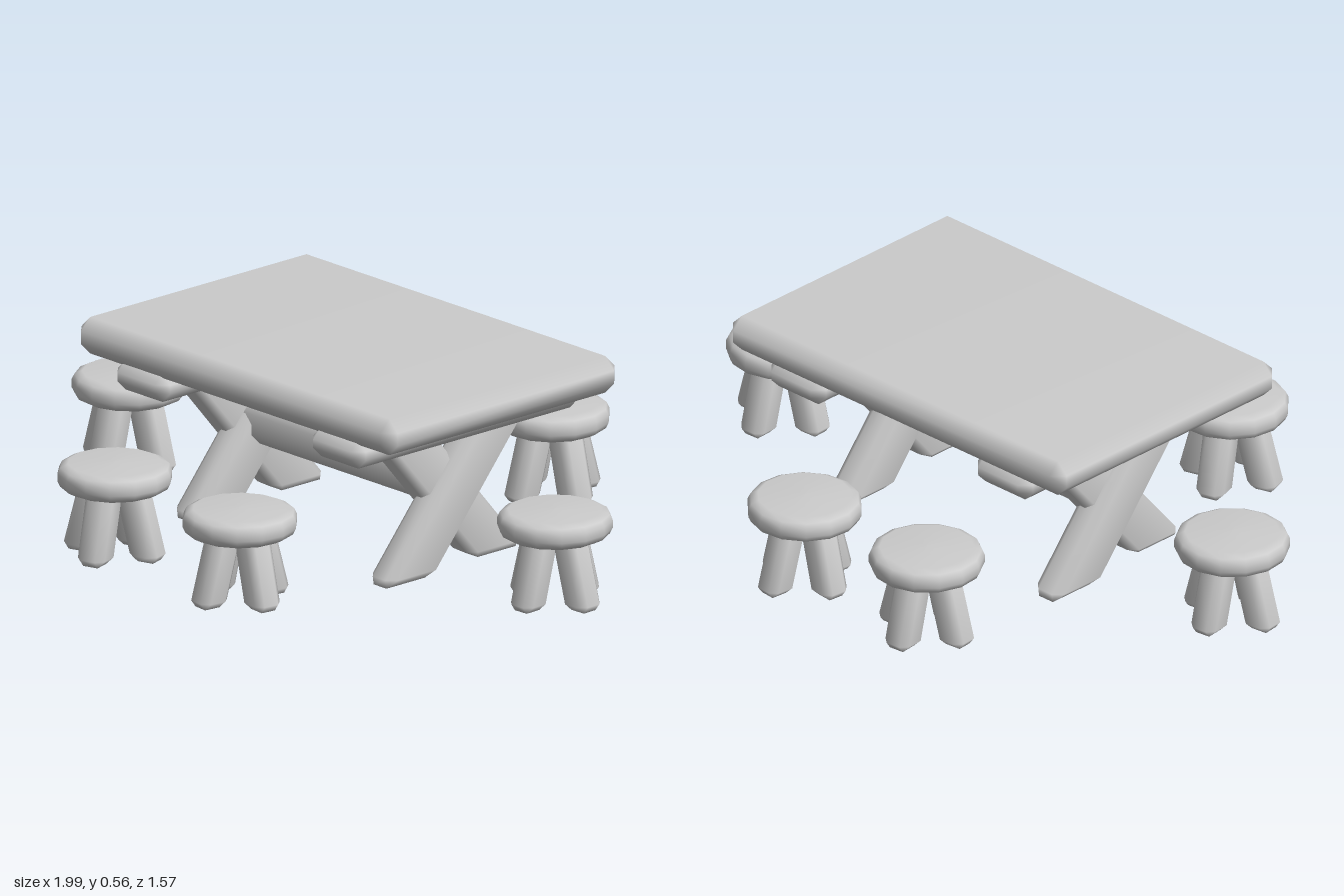
import * as THREE from 'three';
import { mergeVertices } from 'three/addons/utils/BufferGeometryUtils.js';
import { ConvexGeometry } from 'three/addons/geometries/ConvexGeometry.js';

const material = new THREE.MeshStandardMaterial({ color: 0xcccccc });

function part(name, geometry, x = 0, y = 0, z = 0) {
  const mesh = new THREE.Mesh(geometry, material);
  mesh.name = name;
  mesh.position.set(x, y, z);
  return mesh;
}

// Box with every edge cut by c and softly shaded; slant leans it along z as it rises
function chamferBox(w, h, d, c, slant = 0) {
  const points = [];
  for (const sx of [-1, 1]) for (const sy of [-1, 1]) for (const sz of [-1, 1]) {
    for (let face = 0; face < 3; face++) {
      const inset = [c, c, c];
      inset[face] = 0;
      points.push(new THREE.Vector3(
        sx * (w / 2 - inset[0]), sy * (h / 2 - inset[1]), sz * (d / 2 - inset[2])));
    }
  }
  const hull = new ConvexGeometry(points);
  hull.deleteAttribute('normal');
  const geometry = mergeVertices(hull, 1e-4);
  const p = geometry.attributes.position;
  for (let i = 0; i < p.count; i++) p.setZ(i, p.getZ(i) + slant * p.getY(i));
  geometry.computeVertexNormals();
  return geometry;
}

function createTable() {
  const table = new THREE.Group();
  table.name = 'table';
  table.add(part('tableTop', chamferBox(1.275, 0.105, 0.874, 0.034), 0, 0.513, 0));

  // Two crossed trestles, each with a cleat under the top
  const cleat = chamferBox(0.21, 0.085, 0.848, 0.03);
  const risingBack = chamferBox(0.1, 0.43, 0.19, 0.024, -0.85);
  const risingFront = chamferBox(0.1, 0.43, 0.19, 0.024, 0.85);
  for (const x of [-0.39, 0.4]) {
    const trestle = new THREE.Group();
    trestle.name = 'trestle';
    trestle.position.x = x;
    trestle.add(
      part('cleat', cleat, 0, 0.432, 0.005),
      part('crossLeg', risingBack, 0.016, 0.22, 0.01),
      part('crossLeg', risingFront, -0.018, 0.22, 0.005));
    table.add(trestle);
  }
  table.add(part('stretcher', chamferBox(0.78, 0.12, 0.12, 0.03), 0.005, 0.245, 0));
  return table;
}

// Round seat with a bevelled rim
const seatGeometry = new THREE.LatheGeometry([
  [0, 0.195], [0.13, 0.195], [0.151, 0.206], [0.159, 0.222],
  [0.159, 0.244], [0.151, 0.26], [0.13, 0.27], [0, 0.273],
].map(([r, y]) => new THREE.Vector2(r, y)), 14);
const stoolLegGeometry = chamferBox(0.085, 0.21, 0.088, 0.02, -0.27);

function createStool(x, z, turn) {
  const stool = new THREE.Group();
  stool.name = 'stool';
  stool.position.set(x, 0, z);
  stool.rotation.y = turn;
  stool.add(part('seat', seatGeometry));
  // Four splayed legs
  for (let i = 0; i < 4; i++) {
    const leg = new THREE.Group();
    leg.name = 'stoolLeg';
    leg.rotation.y = i * Math.PI / 2;
    leg.add(part('legPost', stoolLegGeometry, 0, 0.11, 0.081));
    stool.add(leg);
  }
  return stool;
}

export function createModel() {
  const model = new THREE.Group();
  model.name = 'tableWithStools';
  model.add(createTable());
  // Stool positions and turns around the table
  for (const [x, z, turn] of [
    [-0.842, 0.036, 0.12], [0.834, -0.002, 0.05],
    [-0.306, -0.612, 0.1], [0.141, -0.632, -0.1],
    [-0.285, 0.605, 0.3], [0.238, 0.622, -0.12],
  ]) model.add(createStool(x, z, turn));
  return model;
}
